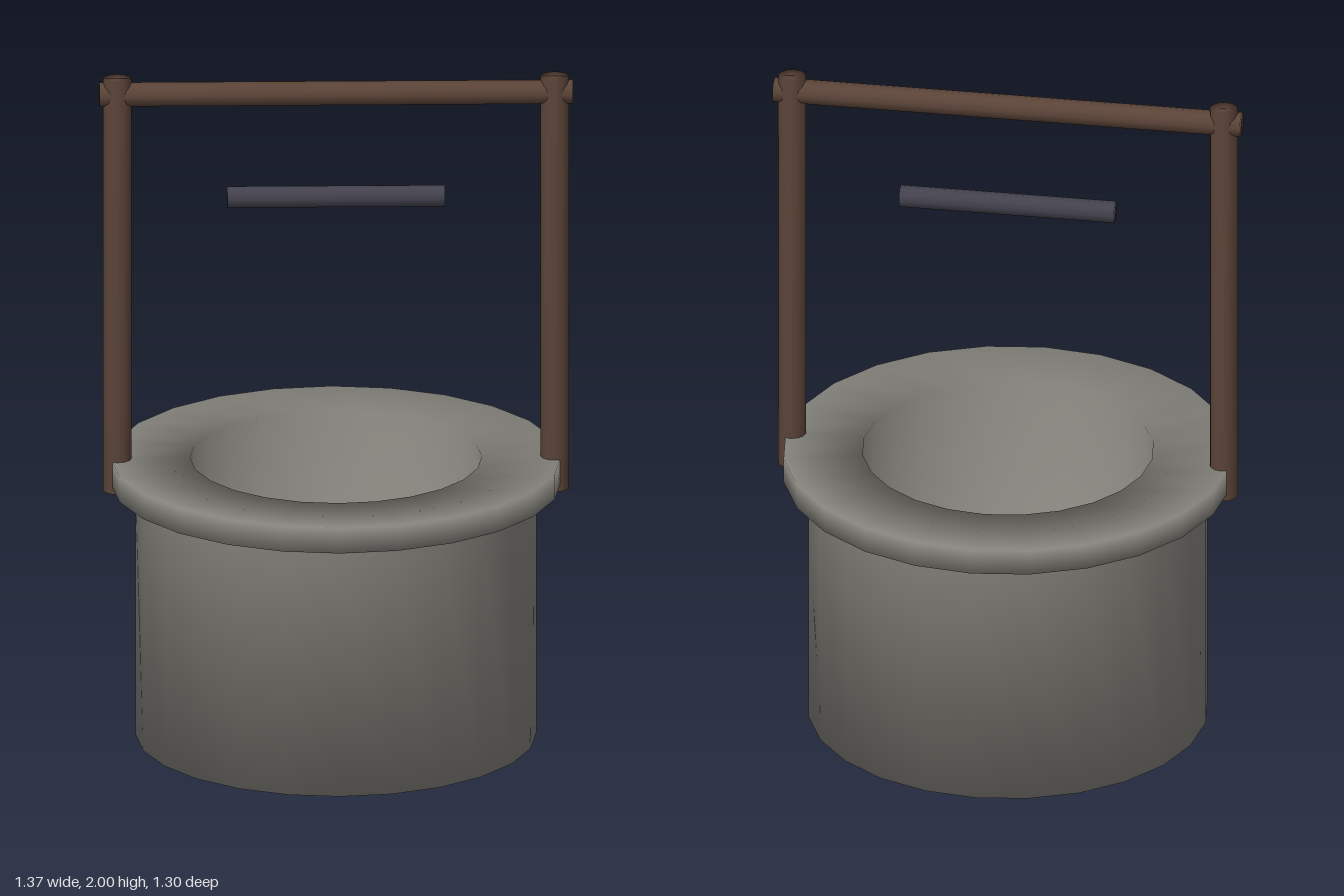
import * as THREE from 'three';

const STONE = new THREE.MeshStandardMaterial({ color: 0x85837c });
const WOOD = new THREE.MeshStandardMaterial({ color: 0x5a4337 });
const IRON = new THREE.MeshStandardMaterial({ color: 0x42414c });

// Smooth solid of revolution about y, from a profile of [radius, height] points
function turned(name, profile, sides, material) {
  const points = profile.map(([r, y]) => new THREE.Vector2(r, y));
  const mesh = new THREE.Mesh(new THREE.LatheGeometry(points, sides), material);
  mesh.name = name;
  return mesh;
}

// Round closed rod centred on its origin, standing along y
function rod(name, radius, length, material) {
  const h = length / 2;
  return turned(name, [[0, -h], [radius, -h], [radius, h], [0, h]], 12, material);
}

export function createModel() {
  const well = new THREE.Group();
  well.name = 'well';

  // Stone drum with an overhanging lip and a hollow shaft
  well.add(turned('stoneWall', [
    [0, 0], [0.58, 0], [0.58, 0.74], [0.652, 0.765],
    [0.652, 0.842], [0.422, 0.842], [0.422, 0.2], [0, 0.2],
  ], 24, STONE));

  // Upright posts at the sides of the lip
  for (const side of [-1, 1]) {
    const post = rod(side > 0 ? 'leftPost' : 'rightPost', 0.041, 1.255, WOOD);
    post.position.set(side * 0.633, 1.3725, 0);
    well.add(post);
  }

  // Crossbar through the post tops
  const crossbar = rod('crossbar', 0.036, 1.37, WOOD);
  crossbar.rotation.z = Math.PI / 2;
  crossbar.position.y = 1.952;
  well.add(crossbar);

  // Winding roller hanging free below the crossbar
  const roller = rod('roller', 0.032, 0.63, IRON);
  roller.rotation.z = Math.PI / 2;
  roller.position.y = 1.637;
  well.add(roller);

  return well;
}
